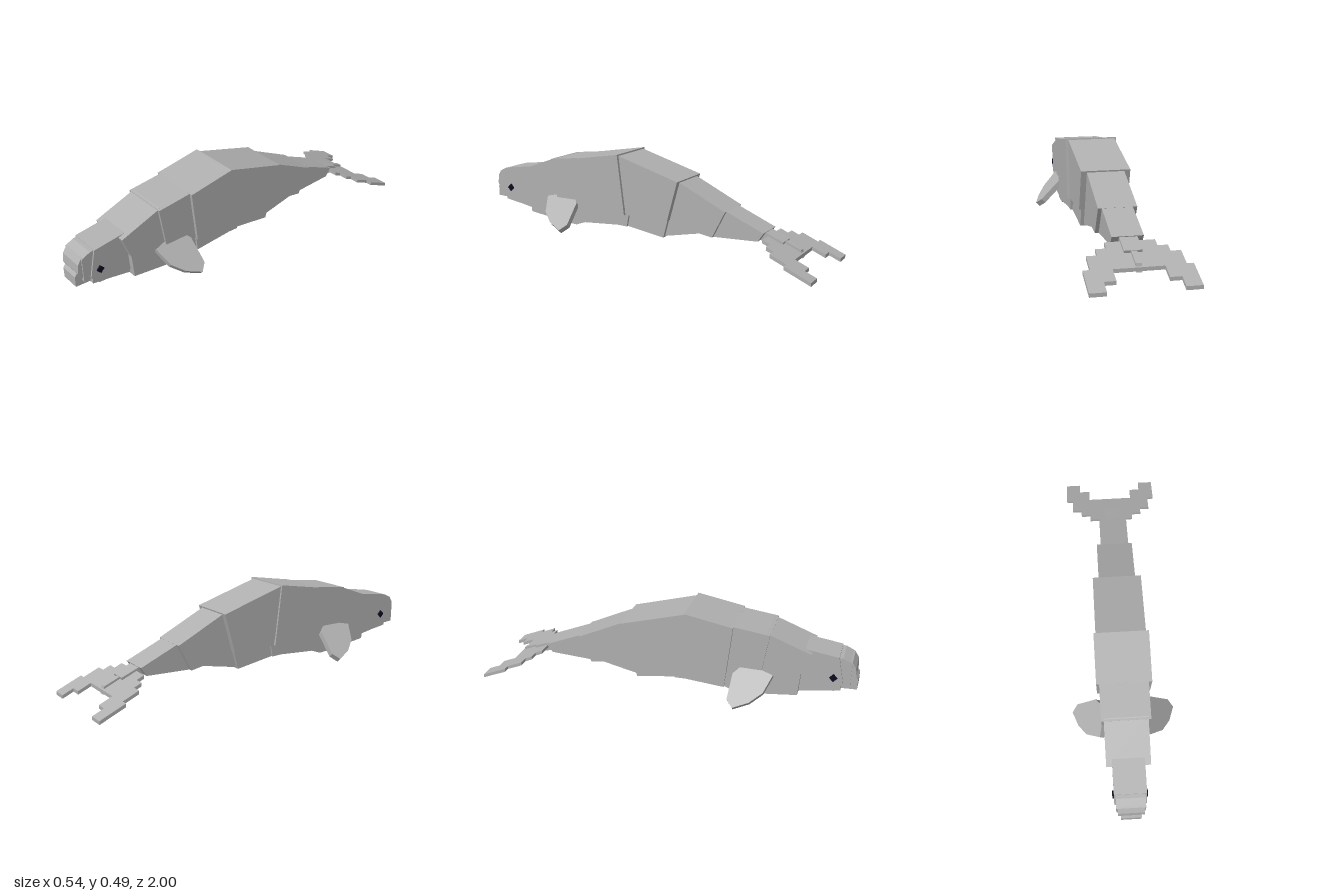
import * as THREE from 'three';

const skin = new THREE.MeshStandardMaterial({ color: 0xb0b0b0 });
skin.name = 'grey skin';
const eyeInk = new THREE.MeshStandardMaterial({ color: 0x0a0a20 });
eyeInk.name = 'eye navy';

function extrude(points, depth) {
  const shape = new THREE.Shape(points.map(([a, b]) => new THREE.Vector2(a, b)));
  return new THREE.ExtrudeGeometry(shape, { depth, bevelEnabled: false });
}

// Side profile of [z, y] points, extruded across the body from x0 to x1
function slab(name, x0, x1, points, material = skin) {
  const geo = extrude(points, x1 - x0).rotateY(-Math.PI / 2).translate(x1, 0, 0);
  const mesh = new THREE.Mesh(geo, material);
  mesh.name = name;
  return mesh;
}

export function createModel() {
  const whale = new THREE.Group();
  whale.name = 'whale';

  // Head, from the back of the skull to the snout
  whale.add(
    slab('skull', -0.075, 0.088, [[0.7, 0.362], [0.9, 0.335], [0.93, 0.19], [0.89, 0.145], [0.7, 0.135]]),
    slab('forehead', -0.067, 0.08, [[0.88, 0.333], [0.92, 0.33], [0.965, 0.308], [0.965, 0.18], [0.88, 0.18]]),
    slab('face', -0.06, 0.073, [[0.9, 0.325], [0.965, 0.31], [0.985, 0.28], [0.99, 0.235], [0.975, 0.2], [0.9, 0.19]]),
    slab('snout', -0.045, 0.058, [[0.9, 0.235], [0.985, 0.23], [1, 0.21], [1, 0.155], [0.9, 0.15]]),
    slab('jaw', -0.067, 0.08, [[0.7, 0.18], [0.92, 0.18], [0.92, 0.147], [0.81, 0.13], [0.7, 0.11]]),
  );

  // Upper body blocks
  whale.add(
    slab('neck', -0.105, 0.117, [[0.765, 0.345], [0.54, 0.428], [0.5, 0.16], [0.5, 0.1], [0.71, 0.105], [0.72, 0.23]]),
    slab('shoulders', -0.118, 0.13, [[0.555, 0.425], [0.36, 0.448], [0.33, 0.17], [0.515, 0.17]]),
    slab('chest', -0.133, 0.147, [[0.37, 0.447], [0.115, 0.49], [0.073, 0.17], [0.34, 0.17]]),
    slab('back', -0.123, 0.132, [[0.13, 0.487], [-0.235, 0.38], [-0.178, 0.17], [0.07, 0.17]]),
    slab('loin', -0.092, 0.102, [[-0.2, 0.388], [-0.49, 0.25], [-0.42, 0.11], [-0.35, 0.122], [-0.15, 0.08]]),
    slab('tailStock', -0.07, 0.083, [[-0.46, 0.262], [-0.69, 0.165], [-0.66, 0.12], [-0.42, 0.11]]),
  );

  // Belly blocks, slightly inset under the body
  whale.add(
    slab('throat', -0.103, 0.115, [[0.7, 0.17], [0.48, 0.18], [0.48, 0.075], [0.7, 0.103]]),
    slab('frontBelly', -0.11, 0.12, [[0.53, 0.19], [0.3, 0.19], [0.33, 0.095], [0.4, 0.07], [0.5, 0.078]]),
    slab('midBelly', -0.12, 0.132, [[0.34, 0.19], [0.05, 0.19], [0.065, 0.108], [0.12, 0.11], [0.33, 0.095]]),
    slab('rearBelly', -0.11, 0.12, [[0.09, 0.19], [-0.18, 0.19], [-0.15, 0.075], [0.065, 0.108]]),
  );

  // Tail tip narrowing onto the flukes
  whale.add(
    slab('tailWrist', -0.04, 0.047, [[-0.64, 0.18], [-0.78, 0.125], [-0.77, 0.09], [-0.64, 0.125]]),
    slab('tailRidge', -0.014, 0.014, [[-0.7, 0.155], [-0.86, 0.09], [-0.87, 0.05], [-0.7, 0.115]]),
  );

  // Stepped flukes, cut in plan and sheared down towards the tip
  const half = [[0.12, -0.7], [0.12, -0.74], [0.17, -0.74], [0.17, -0.78], [0.22, -0.78], [0.22, -0.865],
    [0.253, -0.865], [0.253, -1], [0.175, -1], [0.175, -0.94], [0.12, -0.94], [0.12, -0.87]];
  const outline = [...half, ...half.map(([x, z]) => [-x, z]).reverse()];
  const flukeGeo = extrude(outline.map(([x, z]) => [x, -z]), 0.018).rotateX(-Math.PI / 2);
  const p = flukeGeo.attributes.position;
  for (let i = 0; i < p.count; i++) p.setY(i, p.getY(i) + 0.425 * (p.getZ(i) + 1));
  flukeGeo.computeVertexNormals();
  const flukes = new THREE.Mesh(flukeGeo, skin);
  flukes.name = 'flukes';
  whale.add(flukes);

  // Flippers, [z, distance from root], sloping down and out
  const finOutline = [[0.585, 0.01], [0.55, 0.11], [0.49, 0.17], [0.41, 0.21], [0.375, 0.17], [0.38, 0.03], [0.41, -0.005], [0.5, -0.015]];
  for (const side of [-1, 1]) {
    const fin = new THREE.Mesh(extrude(finOutline.map(([z, t]) => [side * z, t]), 0.03), skin);
    fin.geometry.translate(0, 0, -0.015).rotateY(-side * Math.PI / 2).rotateZ(-side * 2.36);
    fin.geometry.translate(side * 0.112, 0.21, 0);
    fin.name = side > 0 ? 'leftFlipper' : 'rightFlipper';
    whale.add(fin);
  }

  // Diamond eyes
  const eye = [[0.9, 0.22], [0.88, 0.241], [0.86, 0.22], [0.88, 0.199]];
  whale.add(slab('rightEye', -0.083, -0.074, eye, eyeInk), slab('leftEye', 0.087, 0.096, eye, eyeInk));

  return whale;
}
